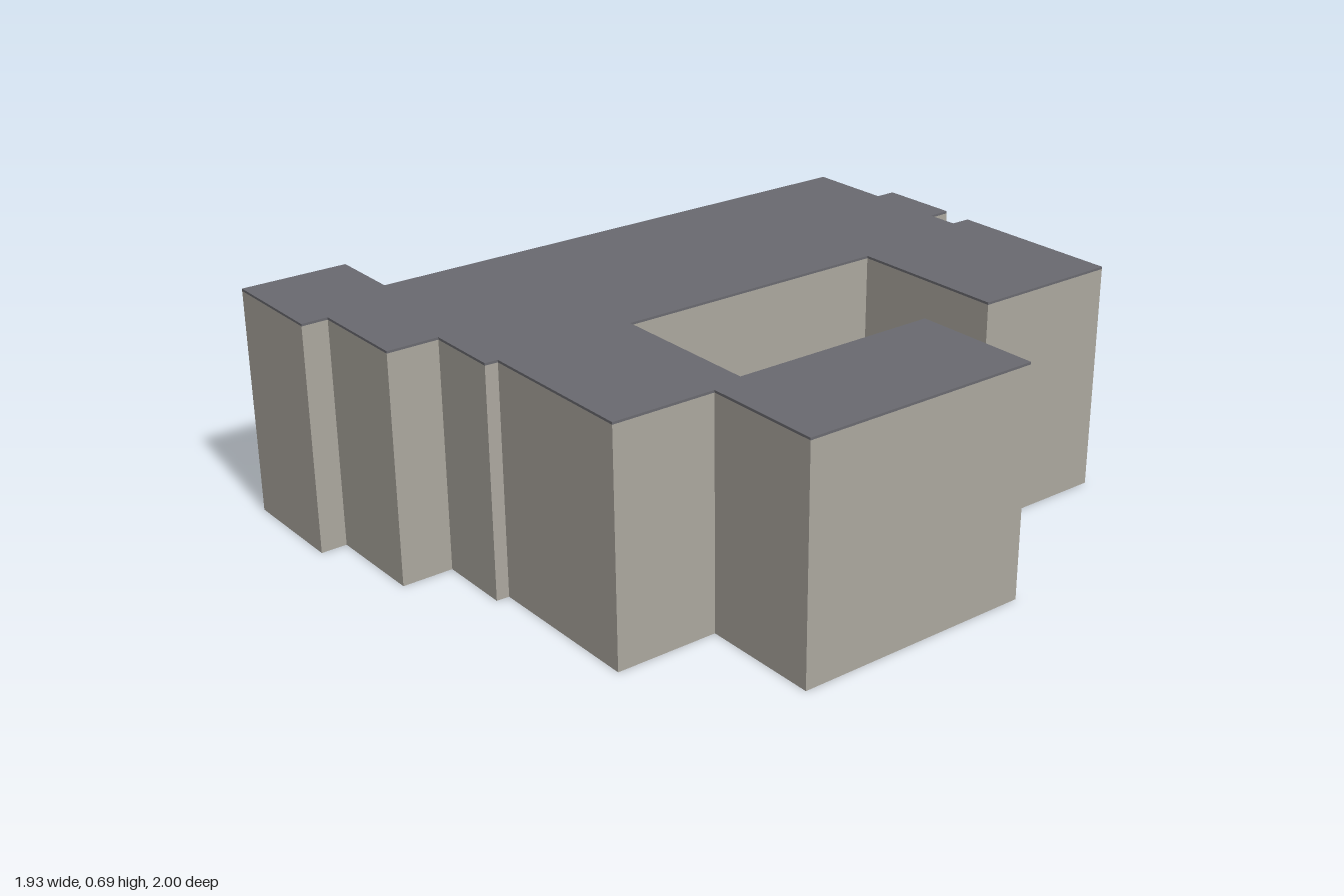
import * as THREE from 'three';

// Building footprint as [x, z] corners
const FOOTPRINT = [
  [-0.463, -0.974], [-0.2, -0.937], [-0.192, -1], [0.053, -0.966], [0.045, -0.897],
  [0.141, -0.884], [0.15, -0.945], [0.694, -0.866], [0.629, -0.403], [0.14, -0.472],
  [0.02, 0.384], [0.487, 0.451], [0.576, -0.188], [0.965, -0.132], [0.86, 0.609],
  [0.499, 0.558], [0.455, 0.868], [-0.042, 0.799], [-0.049, 0.837], [-0.276, 0.804],
  [-0.297, 0.959], [-0.608, 0.917], [-0.618, 0.996], [-0.965, 0.948], [-0.919, 0.624],
  [-0.695, 0.656],
];
const HEIGHT = 0.695;
const ROOF = 0.007;

// Upright prism over the footprint, from y = bottom to y = top
function prism(name, bottom, top, material) {
  const shape = new THREE.Shape(FOOTPRINT.map(([x, z]) => new THREE.Vector2(x, -z)));
  const geometry = new THREE.ExtrudeGeometry(shape, { depth: top - bottom, bevelEnabled: false });
  geometry.rotateX(-Math.PI / 2).translate(0, bottom, 0);
  const mesh = new THREE.Mesh(geometry, material);
  mesh.name = name;
  return mesh;
}

export function createModel() {
  const wall = new THREE.MeshStandardMaterial({ color: 0xaca89f });
  wall.name = 'warm grey wall';
  const roof = new THREE.MeshStandardMaterial({ color: 0x6a6a70 });
  roof.name = 'slate grey roof';

  const group = new THREE.Group();
  group.name = 'building';
  // Wall block with a thin flat roof on top
  group.add(prism('walls', 0, HEIGHT - ROOF, wall));
  group.add(prism('roof', HEIGHT - ROOF, HEIGHT, roof));
  return group;
}
